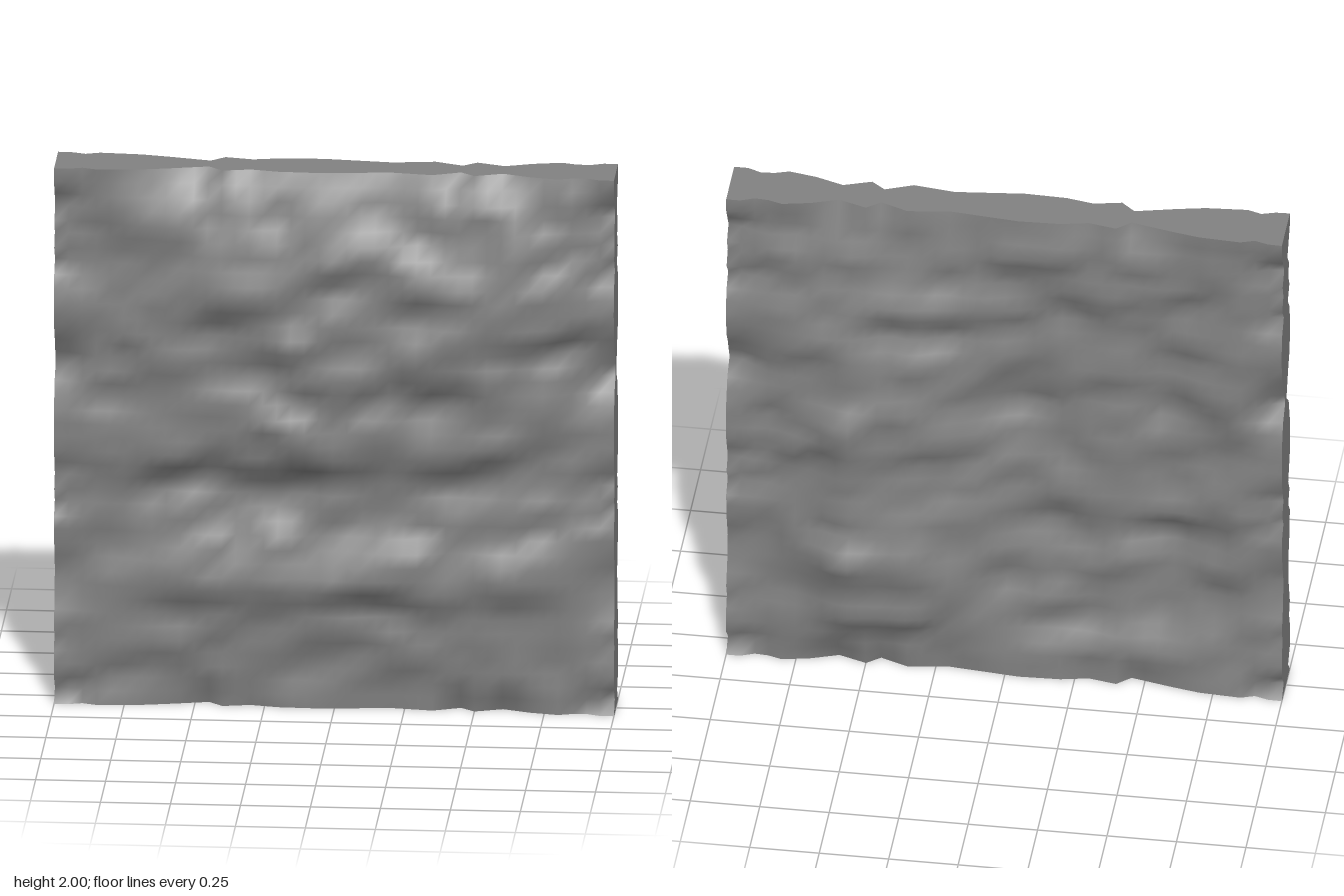
import * as THREE from 'three';

const N = 40; // grid cells along each side of the slab
const { smoothstep, lerp } = THREE.MathUtils;

// Piecewise linear curve through [position, value] pairs
function curve(points) {
  return (t) => {
    if (t <= points[0][0]) return points[0][1];
    for (let i = 1; i < points.length; i++) {
      const [a, va] = points[i - 1], [b, vb] = points[i];
      if (t <= b) return lerp(va, vb, (t - a) / (b - a));
    }
    return points[points.length - 1][1];
  };
}

// Seeded smooth value noise in -1..1
function hash(i, j, seed) {
  let h = Math.imul(i, 374761393) ^ Math.imul(j, 668265263) ^ Math.imul(seed, 1442695041);
  h = Math.imul(h ^ (h >>> 13), 1274126177);
  return (((h ^ (h >>> 16)) >>> 0) / 4294967295) * 2 - 1;
}
function noise(x, y, seed) {
  const i = Math.floor(x), j = Math.floor(y);
  const u = smoothstep(x - i, 0, 1), v = smoothstep(y - j, 0, 1);
  return lerp(
    lerp(hash(i, j, seed), hash(i + 1, j, seed), u),
    lerp(hash(i, j + 1, seed), hash(i + 1, j + 1, seed), u), v);
}

// Half thickness of the slab along its upright edges and its top and bottom edges
const sideEdge = curve([[0, .1], [.05, .055], [.1, .1], [.2, .1], [.25, .08], [.3, .1], [.4, .07], [.5, .06],
  [.6, .09], [.7, .1], [.75, .06], [.8, .09], [.85, .06], [.95, .1], [1.1, .1], [1.2, .07], [1.25, .015],
  [1.35, .06], [1.4, .09], [1.5, .11], [1.6, .09], [1.65, .05], [1.7, .09], [1.75, .06], [1.8, .08],
  [1.85, .04], [1.95, .1], [2, .1]]);
const topEdge = curve([[-1, .11], [-.9, .07], [-.85, .1], [-.7, .09], [-.6, .07], [-.45, .035],
  [-.4, .08], [-.3, .06], [-.2, .08], [-.05, .085], [.1, .07], [.2, .06], [.35, .08], [.45, .04], [.5, .08], [.6, .045],
  [.7, .08], [.8, .1], [.9, .065], [.95, .1], [1, .11]]);

// Broad swells of each face: width profile, height profile. Ledges: x, y, half width, depth, tilt.
const faces = {
  front: {
    seed: 11,
    swells: [[
      curve([[-1, 0], [-.82, .02], [-.6, .6], [-.4, .85], [-.1, 1], [.2, .9], [.62, .9], [.8, .4], [.95, 0]]),
      curve([[0, 0], [.38, .01], [.46, .055], [.57, .055], [.7, .015], [.84, 0], [.97, .06], [1.2, .08],
        [1.4, .095], [1.6, .09], [1.75, .08], [1.9, .045], [2, 0]]),
    ]],
    ledges: [[.74, 1.41, .42, .07, .03], [.35, 1.23, .3, .035, 0], [-.12, .9, .32, .025, .2], [-.7, .9, .3, .02, 0],
      [.15, .43, .25, .04, .08], [-.6, .42, .3, .03, 0], [-.2, .4, .25, .02, -.05], [.75, .46, .25, .025, 0],
      [-.4, 1.48, .3, .025, .2], [-.3, 1.9, .3, .02, 0], [.1, 1.05, .25, .02, 0]],
  },
  back: {
    seed: 29,
    swells: [[
      curve([[-.05, 0], [.2, .4], [.58, 1], [.7, .45], [.85, 0]]),
      curve([[0, 0], [.15, .01], [.3, .08], [.5, .1], [.65, .07], [.8, .08], [1, .09], [1.2, .07], [1.4, .075],
        [1.5, .04], [1.6, .045], [1.7, .01], [2, 0]]),
    ], [ // shallow hollow beside the swell
      curve([[-.86, 0], [-.58, 1], [-.4, .75], [-.05, .75], [.35, 0]]),
      curve([[.1, 0], [.4, -.075], [1.5, -.075], [1.85, 0]]),
    ]],
    ledges: [[.5, .4, .3, .03, 0], [.4, .95, .35, .02, 0], [-.4, 1.3, .4, .02, .1], [-.5, .7, .35, .02, 0],
      [.2, 1.55, .4, .025, 0], [-.6, 1.7, .3, .02, 0], [-.2, .3, .4, .02, 0]],
  },
};

// Distance of a face from the middle plane at (x, y)
function depth({ seed, swells, ledges }, x, y) {
  const warp = y + .03 * noise(x * 3, y * 3, seed + 5);
  const strata = noise(x * 2.6 + 9, warp * 6, seed) * .45 + noise(x * 5.2, warp * 9.5, seed + 1) * .5
    + noise(x * 9.3, warp * 13, seed + 2) * .5;
  let rock = .09 + strata * .036;
  for (const [lx, ly, w, amount, tilt] of ledges) {
    const fade = Math.max(0, 1 - ((x - lx) / w) ** 2);
    const t = warp - ly - tilt * (x - lx);
    rock += amount * fade * (smoothstep(t, -.05, .04) * (1 - smoothstep(t, .04, .3)) - .5 * Math.exp(-(((t + .07) / .05) ** 2)));
  }
  rock = Math.min(rock, .11); // flat weathered crust
  const toSide = 1 - Math.abs(x), toTop = Math.min(y, 2 - y);
  rock = lerp(topEdge(x), rock, smoothstep(toTop, 0, .14));
  rock = lerp(sideEdge(y), rock, smoothstep(toSide, 0, .18));
  const lumps = 1 + .25 * noise(x * 7, y * 12, seed + 7);
  for (const [across, up] of swells) rock += across(x) * up(y) * lumps;
  return rock;
}

export function createModel() {
  const group = new THREE.Group();
  group.name = 'rockSlab';
  const material = new THREE.MeshStandardMaterial({ color: 0x828282 });

  // Bends a plane by a rule on its vertices
  function addSheet(name, rows, place) {
    const geometry = new THREE.PlaneGeometry(2, 2, N, rows);
    const pos = geometry.attributes.position;
    for (let i = 0; i < pos.count; i++) pos.setXYZ(i, ...place(pos.getX(i), pos.getY(i)));
    geometry.computeVertexNormals();
    const mesh = new THREE.Mesh(geometry, material);
    mesh.name = name;
    group.add(mesh);
  }

  // Rough faces
  addSheet('frontFace', N, (u, v) => [u, v + 1, depth(faces.front, u, v + 1)]);
  addSheet('backFace', N, (u, v) => [-u, v + 1, -depth(faces.back, -u, v + 1)]);

  // Flat cut edges spanning from the front face to the back face
  const span = (x, y, front) => [x, y, front ? depth(faces.front, x, y) : -depth(faces.back, x, y)];
  addSheet('topEdge', 1, (u, v) => span(u, 2, v < 0));
  addSheet('bottomEdge', 1, (u, v) => span(u, 0, v > 0));
  addSheet('leftEdge', 1, (u, v) => span(1, u + 1, v > 0));
  addSheet('rightEdge', 1, (u, v) => span(-1, u + 1, v < 0));
  return group;
}
